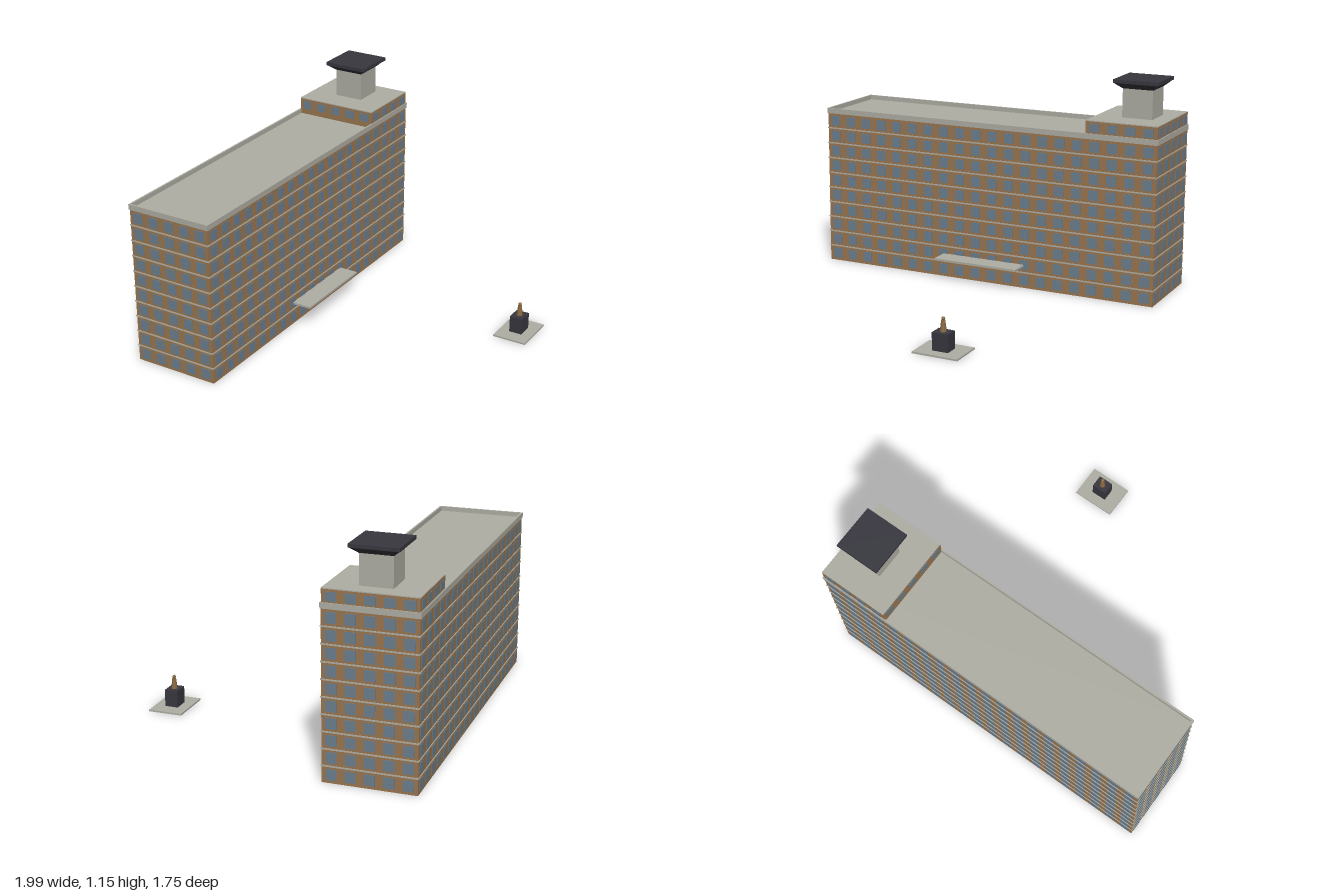
import * as THREE from 'three';
import { mergeGeometries } from 'three/addons/utils/BufferGeometryUtils.js';

const material = (name, color, side = THREE.FrontSide) => {
  const m = new THREE.MeshStandardMaterial({ color, side });
  m.name = name;
  return m;
};

export function createModel() {
  const brick = material('brick', 0x9a7650, THREE.DoubleSide);
  const glass = material('glass', 0x6b7f8e);
  const concrete = material('concrete', 0xaeaea4, THREE.DoubleSide);
  const dark = material('darkMetal', 0x38373f);
  const bronze = material('bronze', 0x8a6a42);

  const model = new THREE.Group();
  model.name = 'officeBlock';
  const TURN = THREE.MathUtils.degToRad(10);

  const add = (parent, name, geometry, mat, x = 0, y = 0, z = 0) => {
    const mesh = new THREE.Mesh(geometry, mat);
    mesh.name = name;
    mesh.position.set(x, y, z);
    parent.add(mesh);
    return mesh;
  };
  // Box standing on height y
  const box = (parent, name, mat, w, h, d, x, y, z) =>
    add(parent, name, new THREE.BoxGeometry(w, h, d), mat, x, y + h / 2, z);

  // Horizontal rectangular ring with a base at height 0
  const ringGeometry = (w, d, t, h) => {
    const rect = (path, a, b) =>
      path.moveTo(-a, -b).lineTo(a, -b).lineTo(a, b).lineTo(-a, b).closePath();
    const shape = rect(new THREE.Shape(), w / 2, d / 2);
    shape.holes.push(rect(new THREE.Path(), w / 2 - t, d / 2 - t));
    return new THREE.ExtrudeGeometry(shape, { depth: h, bevelEnabled: false }).rotateX(-Math.PI / 2);
  };

  // Thin window plates set through all four walls of a rectangular storey
  const windowRow = (x0, x1, depth, y, height, baysLong, baysEnd) => {
    const plates = [];
    const t = 0.005;
    const stepX = (x1 - x0) / baysLong, stepZ = depth / baysEnd;
    for (let i = 0; i < baysLong; i++)
      for (const s of [-1, 1])
        plates.push(new THREE.BoxGeometry(0.054, height, t)
          .translate(x0 + (i + 0.5) * stepX, y, s * depth / 2));
    for (let i = 0; i < baysEnd; i++)
      for (const x of [x0, x1])
        plates.push(new THREE.BoxGeometry(t, height, 0.054)
          .translate(x, y, -depth / 2 + (i + 0.5) * stepZ));
    return plates;
  };

  // Main building
  const building = new THREE.Group();
  building.name = 'building';
  building.position.set(-0.003, 0, -0.47);
  building.rotation.y = TURN;
  model.add(building);

  const W = 1.932, D = 0.468, FLOORS = 10, STOREY = 0.085, H = FLOORS * STOREY;

  // Walls, open underneath
  const wallParts = [];
  for (const s of [-1, 1]) {
    const face = s > 0 ? 0 : Math.PI;
    wallParts.push(new THREE.PlaneGeometry(W, H).rotateY(face).translate(0, H / 2, s * D / 2));
    wallParts.push(new THREE.PlaneGeometry(D, H).rotateY(s * Math.PI / 2).translate(s * W / 2, H / 2, 0));
  }
  add(building, 'walls', mergeGeometries(wallParts), brick);

  // Windows and floor bands
  const panes = [], bands = [];
  for (let f = 0; f < FLOORS; f++) {
    panes.push(...windowRow(-W / 2, W / 2, D, (f + 0.5) * STOREY, 0.055, 20, 5));
    if (f > 0) bands.push(ringGeometry(W + 0.007, D + 0.007, 0.0035, 0.007).translate(0, f * STOREY - 0.0035, 0));
  }
  add(building, 'windows', mergeGeometries(panes), glass);
  add(building, 'floorBands', mergeGeometries(bands), concrete);

  // Roof deck and parapet
  box(building, 'roofDeck', concrete, W - 0.002, 0.004, D - 0.002, 0, H - 0.002, 0);
  add(building, 'parapet', ringGeometry(1.941, 0.477, 0.01, 0.029), concrete, 0, H - 0.002, 0);

  // Rooftop penthouse
  const px0 = 0.576, px1 = W / 2 - 0.001, pd = D - 0.002;
  box(building, 'penthouse', brick, px1 - px0, 0.09, pd, (px0 + px1) / 2, H, 0);
  box(building, 'penthouseRoof', concrete, px1 - px0, 0.005, pd, (px0 + px1) / 2, H + 0.09, 0);
  add(building, 'penthouseWindows',
    mergeGeometries(windowRow(px0, px1, pd, 0.906, 0.045, 4, 5)), glass);

  // Tower with a flared cap
  const tx = 0.798;
  box(building, 'tower', concrete, 0.163, 0.16, 0.163, tx, 0.94, 0);
  const flare = new THREE.CylinderGeometry(0.24 * Math.SQRT1_2, 0.165 * Math.SQRT1_2, 0.032, 4)
    .rotateY(Math.PI / 4).toNonIndexed();
  flare.computeVertexNormals();
  add(building, 'towerCapFlare', flare, dark, tx, 1.113, 0);
  box(building, 'towerCap', dark, 0.244, 0.018, 0.244, tx, 1.128, 0);

  // Entrance canopy
  box(building, 'canopy', concrete, 0.482, 0.011, 0.11, 0, 0.118, 0.288);

  // Monument on its plaza
  const monument = new THREE.Group();
  monument.name = 'monument';
  monument.position.set(0.534, 0, 0.761);
  monument.rotation.y = TURN;
  model.add(monument);
  box(monument, 'plaza', concrete, 0.239, 0.009, 0.184, 0, 0, 0);
  box(monument, 'plinth', dark, 0.085, 0.09, 0.071, 0, 0.009, 0);
  add(monument, 'statueBody', new THREE.CylinderGeometry(0.01, 0.017, 0.056, 10), bronze, 0, 0.127, 0);
  add(monument, 'statueHead', new THREE.SphereGeometry(0.0095, 12, 8), bronze, 0, 0.163, 0);

  return model;
}
